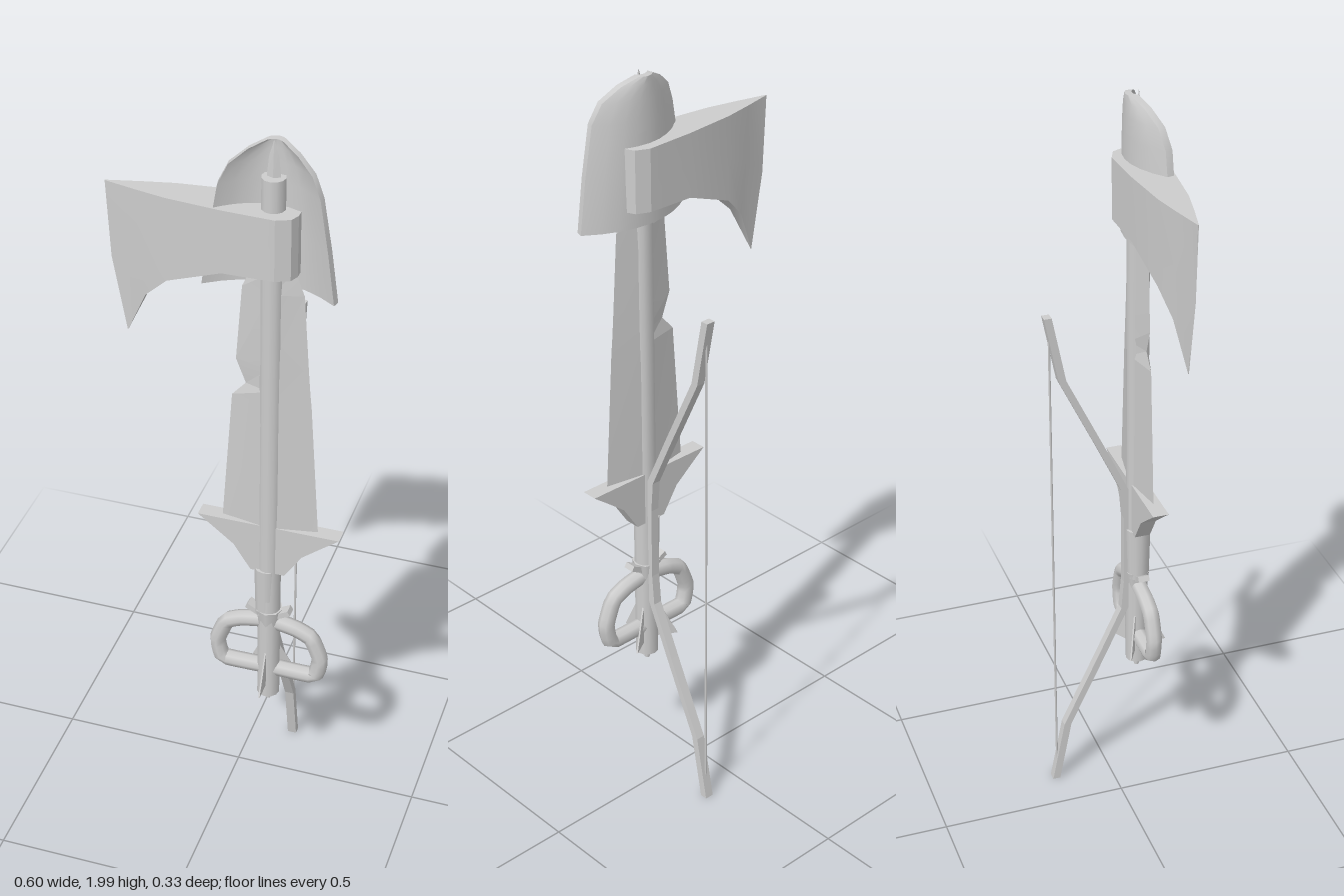
import * as THREE from 'three';
import { toCreasedNormals } from 'three/addons/utils/BufferGeometryUtils.js';

const CX = 0.11, CZ = 0.082;
const V = (x, y, z) => new THREE.Vector3(x, y, z);

// Skins a stack of equal-length rings and closes both ends.
function loft(rings, crease = 0.4) {
  const n = rings[0].length, last = (rings.length - 1) * n, index = [];
  for (let r = 0; r < rings.length - 1; r++) {
    for (let i = 0; i < n; i++) {
      const a = r * n + i, b = r * n + (i + 1) % n;
      index.push(a, b, b + n, a, b + n, a + n);
    }
  }
  for (let i = 0; i < n / 2 - 1; i++) {
    const a = i, b = i + 1, c = n - 2 - i, d = n - 1 - i;
    index.push(a, c, b, a, d, c);
    index.push(last + a, last + b, last + c, last + a, last + c, last + d);
  }
  const g = new THREE.BufferGeometry().setFromPoints(rings.flat());
  g.setIndex(index);
  return toCreasedNormals(g, crease);
}

function extrude(points, depth) {
  const shape = new THREE.Shape(points.map(([x, y]) => new THREE.Vector2(x, y)));
  return new THREE.ExtrudeGeometry(shape, { depth, bevelEnabled: false });
}

export function createModel() {
  const group = new THREE.Group();
  const grey = new THREE.MeshStandardMaterial({ color: 0xcccccc });
  grey.name = 'plainGrey';
  grey.side = THREE.DoubleSide;
  const add = (name, geometry) => {
    const mesh = new THREE.Mesh(geometry, grey);
    mesh.name = name;
    group.add(mesh);
    return mesh;
  };
  const rod = (name, x, z, y0, y1, r0, r1, sides) =>
    add(name, new THREE.CylinderGeometry(r1, r0, y1 - y0, sides).translate(x, (y0 + y1) / 2, z));

  // Axe: long shaft and wedge-shaped head
  rod('axeShaft', CX, CZ, 0.36, 1.9, 0.03, 0.029, 12);
  // top x, middle x, bottom x, bottom y, half thickness
  const axe = [
    [-0.3, -0.29, -0.255, 1.42, 0.001],
    [-0.22, -0.215, -0.2, 1.54, 0.02],
    [-0.14, -0.14, -0.14, 1.6, 0.037],
    [0, 0, 0, 1.655, 0.052],
    [0.13, 0.13, 0.13, 1.66, 0.058],
    [0.165, 0.165, 0.165, 1.66, 0.043],
    [0.175, 0.175, 0.175, 1.66, 0.02],
  ];
  add('axeHead', loft(axe.map(([xt, xm, xb, yb, h]) => {
    const ym = (1.82 + yb) / 2, z = 0.079;
    return [V(xt, 1.82, z - h), V(xt, 1.82, z + h), V(xm, ym, z + h),
      V(xb, yb, z + h), V(xb, yb, z - h), V(xm, ym, z - h)];
  })));

  // Shield: arched plate with a rounded top
  const rows = [[1.615, 0.165], [1.75, 0.147], [1.88, 0.125], [1.93, 0.102],
    [1.965, 0.06], [1.985, 0.02]];
  add('shield', loft(rows.map(([y, half]) => {
    const front = [], back = [];
    for (let i = 0; i <= 8; i++) {
      const u = i / 4 - 1;
      const z = 0.047 + 0.06 * u * u * Math.min(1, half / 0.13);
      front.push(V(CX + half * u * 0.97, y, z + 0.018));
      back.unshift(V(CX + half * u, y, z));
    }
    return [...front, ...back];
  }), 0.6));

  // Sword: ridged blade with a nick, flared guard and grip
  const blade = [[0.92, -0.015, 0.235], [1.29, 0.01, 0.211], [1.33, 0.045, 0.207],
    [1.395, 0.02, 0.202], [1.6, 0.035, 0.188], [1.66, 0.06, 0.165],
    [1.82, 0.085, 0.135], [1.95, 0.098, 0.122], [1.99, 0.109, 0.111]];
  add('swordBlade', loft(blade.map(([y, l, r], i) => {
    const t = i < 6 ? 0.022 : 0.022 * (r - l) / 0.105;
    return [V(l, y, CZ), V(CX, y, CZ + t), V(r, y, CZ), V(CX, y, CZ - t)];
  }), 0.1));
  add('swordGuard', extrude([[-0.075, 0.92], [-0.03, 0.885], [0.02, 0.845], [0.065, 0.775],
    [0.155, 0.775], [0.2, 0.845], [0.25, 0.885], [0.295, 0.92]], 0.042).translate(0, 0, 0.06));
  rod('swordGrip', 0.104, CZ, 0.63, 0.78, 0.03, 0.034, 12);

  // Dagger hilt: mirrored hand loops and a small collar with prongs
  for (const side of [-1, 1]) {
    const path = new THREE.CurvePath();
    const pts = [[0, 0.605], [0.07, 0.592], [0.115, 0.57], [0.14, 0.505], [0.125, 0.445], [0, 0.445]]
      .map(([x, y]) => V(CX + side * x, y, CZ));
    for (let i = 0; i < pts.length - 1; i++) path.add(new THREE.LineCurve3(pts[i], pts[i + 1]));
    const smooth = new THREE.CatmullRomCurve3(pts, false, 'catmullrom', 0.2);
    add(side < 0 ? 'rightHandLoop' : 'leftHandLoop', new THREE.TubeGeometry(smooth, 20, 0.022, 8));
    const prong = add(side < 0 ? 'rightProng' : 'leftProng', new THREE.BoxGeometry(0.05, 0.015, 0.03));
    prong.position.set(CX + side * 0.035, 0.635, CZ);
    prong.rotation.z = side * 0.5;
  }
  rod('hiltCollar', CX, CZ, 0.6, 0.645, 0.03, 0.036, 8);

  // Arrow: thin shaft with three fletchings
  rod('arrowShaft', CX, CZ, 0.335, 1.9, 0.007, 0.007, 6);
  for (let i = 0; i < 3; i++) {
    const fin = add('arrowFletching', extrude([[0, 0.4], [0.083, 0.4], [0.025, 0.52], [0, 0.56]], 0.004)
      .translate(0, 0, -0.002));
    fin.position.set(CX, 0, CZ);
    fin.rotation.y = -Math.PI / 2 + i * Math.PI * 2 / 3;
  }

  // Bow: square-section limbs mirrored about the grip, with a string
  const mid = 0.717;
  const limb = [[0.052, 0.1], [0.045, 0.185], [-0.02, 0.325], [-0.12, 0.535], [-0.155, 0.715]];
  const spine = [...limb.map(([z, y]) => [z, mid - y]).reverse(), ...limb.map(([z, y]) => [z, mid + y])];
  const outline = [...spine.map(([z, y]) => [z + 0.01, y]), ...spine.map(([z, y]) => [z - 0.01, y]).reverse()];
  add('bow', extrude(outline, 0.024).rotateY(-Math.PI / 2).translate(0.124, 0, 0));
  rod('bowString', 0.112, -0.15, 0.02, 1.415, 0.003, 0.003, 6);

  return group;
}
